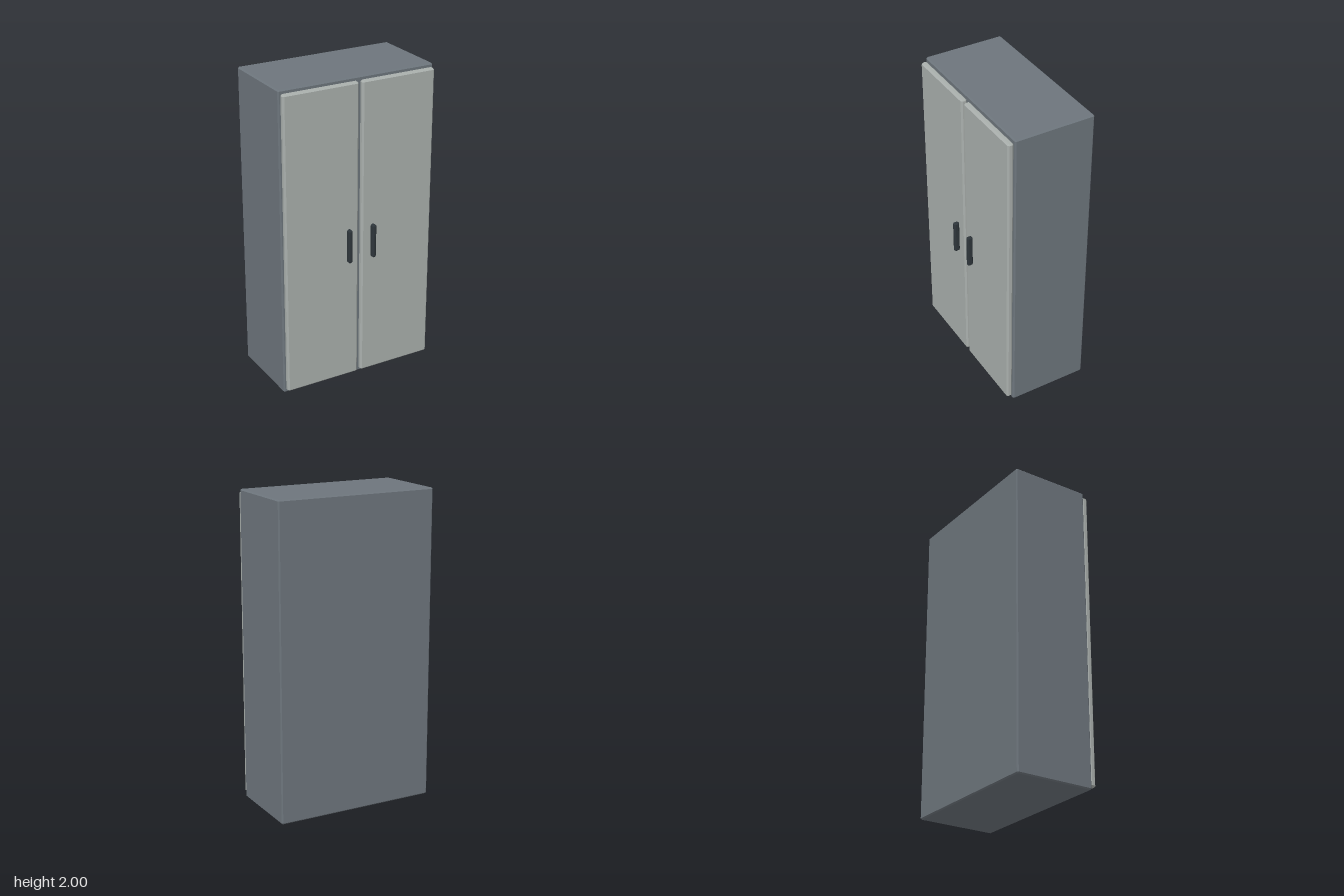
import * as THREE from 'three';
import { ConvexGeometry } from 'three/addons/geometries/ConvexGeometry.js';

// Box between two corners with every edge cut by a flat chamfer
function chamferBox(name, min, max, c, material) {
  const half = max.map((v, i) => (v - min[i]) / 2);
  const points = [];
  for (const sx of [-1, 1]) for (const sy of [-1, 1]) for (const sz of [-1, 1]) {
    const signs = [sx, sy, sz];
    for (let axis = 0; axis < 3; axis++) {
      points.push(new THREE.Vector3(...signs.map((s, i) => s * (half[i] - (i === axis ? 0 : c)))));
    }
  }
  const mesh = new THREE.Mesh(new ConvexGeometry(points), material);
  mesh.name = name;
  mesh.position.set(...min.map((v, i) => (v + max[i]) / 2));
  return mesh;
}

export function createModel() {
  const bodyGrey = new THREE.MeshStandardMaterial({ color: 0x6d757c });
  bodyGrey.name = 'slate grey';
  const doorGrey = new THREE.MeshStandardMaterial({ color: 0xa9afac });
  doorGrey.name = 'pale grey';
  const handleDark = new THREE.MeshStandardMaterial({ color: 0x2d353a });
  handleDark.name = 'dark charcoal';

  const cabinet = new THREE.Group();
  cabinet.name = 'cabinet';

  // Closed carcass
  cabinet.add(chamferBox('body', [-0.527, 0, -0.3], [0.527, 2, 0.223], 0.008, bodyGrey));

  // A door and its upright handle on each side of the centre gap
  for (const [side, s] of [['left', 1], ['right', -1]]) {
    const span = (a, b) => (s > 0 ? [a, b] : [-b, -a]);
    const [d0, d1] = span(0.012, 0.516);
    const [h0, h1] = span(0.07, 0.099);
    cabinet.add(chamferBox(side + 'Door', [d0, 0.024, 0.223], [d1, 1.98, 0.262], 0.01, doorGrey));
    cabinet.add(chamferBox(side + 'Handle', [h0, 0.832, 0.262], [h1, 1.055, 0.299], 0.009, handleDark));
  }
  return cabinet;
}
